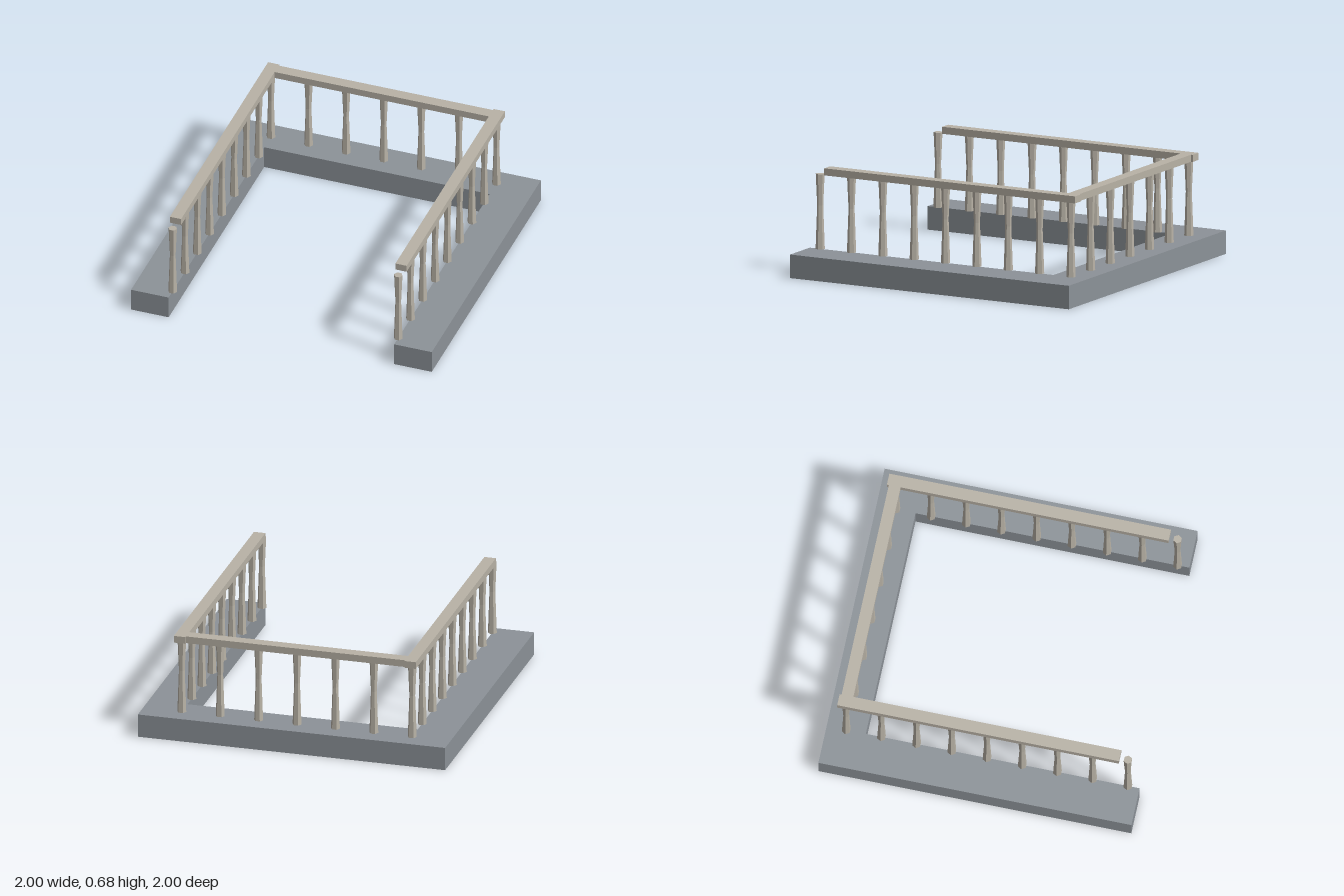
import * as THREE from 'three';

export function createModel() {
  const group = new THREE.Group();
  group.name = 'balustrade';
  const stone = new THREE.MeshStandardMaterial({ color: 0x8c9298, flatShading: true });
  stone.name = 'grey stone';
  const beige = new THREE.MeshStandardMaterial({ color: 0xb8b2a6, flatShading: true });
  beige.name = 'beige stone';

  const add = (name, geometry, material, x, y, z) => {
    const mesh = new THREE.Mesh(geometry, material);
    mesh.name = name;
    mesh.position.set(x, y, z);
    group.add(mesh);
  };

  // U-shaped floor slab, open at the front
  const outline = [[-1, -1], [-0.75, -1], [-0.75, 0.75], [0.75, 0.75], [0.75, -1], [1, -1], [1, 1], [-1, 1]];
  const slab = new THREE.ExtrudeGeometry(
    new THREE.Shape(outline.map(([x, y]) => new THREE.Vector2(x, y))),
    { depth: 0.15, bevelEnabled: false }
  );
  slab.rotateX(-Math.PI / 2);
  add('floorSlab', slab, stone, 0, 0, 0);

  // Six-sided baluster with a narrow waist
  const profile = [[0, 0], [0.029, 0], [0.019, 0.28], [0.028, 0.48], [0, 0.48]];
  const baluster = new THREE.LatheGeometry(
    profile.map(([r, y]) => new THREE.Vector2(r, y)), 6, Math.PI / 2
  );

  // Side rows, including the corner posts
  for (const [side, x] of [['left', 0.75], ['right', -0.75]]) {
    for (let i = 0; i < 9; i++) add(side + 'Baluster', baluster, beige, x, 0.15, 0.925 - i * 0.225);
    add(side + 'Handrail', new THREE.BoxGeometry(0.075, 0.045, 1.8), beige, x, 0.6525, -0.025);
  }

  // Back row between the corners
  for (let i = -2; i <= 2; i++) add('backBaluster', baluster, beige, i * 0.25, 0.15, -0.875);
  add('backHandrail', new THREE.BoxGeometry(1.425, 0.045, 0.075), beige, 0, 0.6525, -0.875);

  return group;
}
